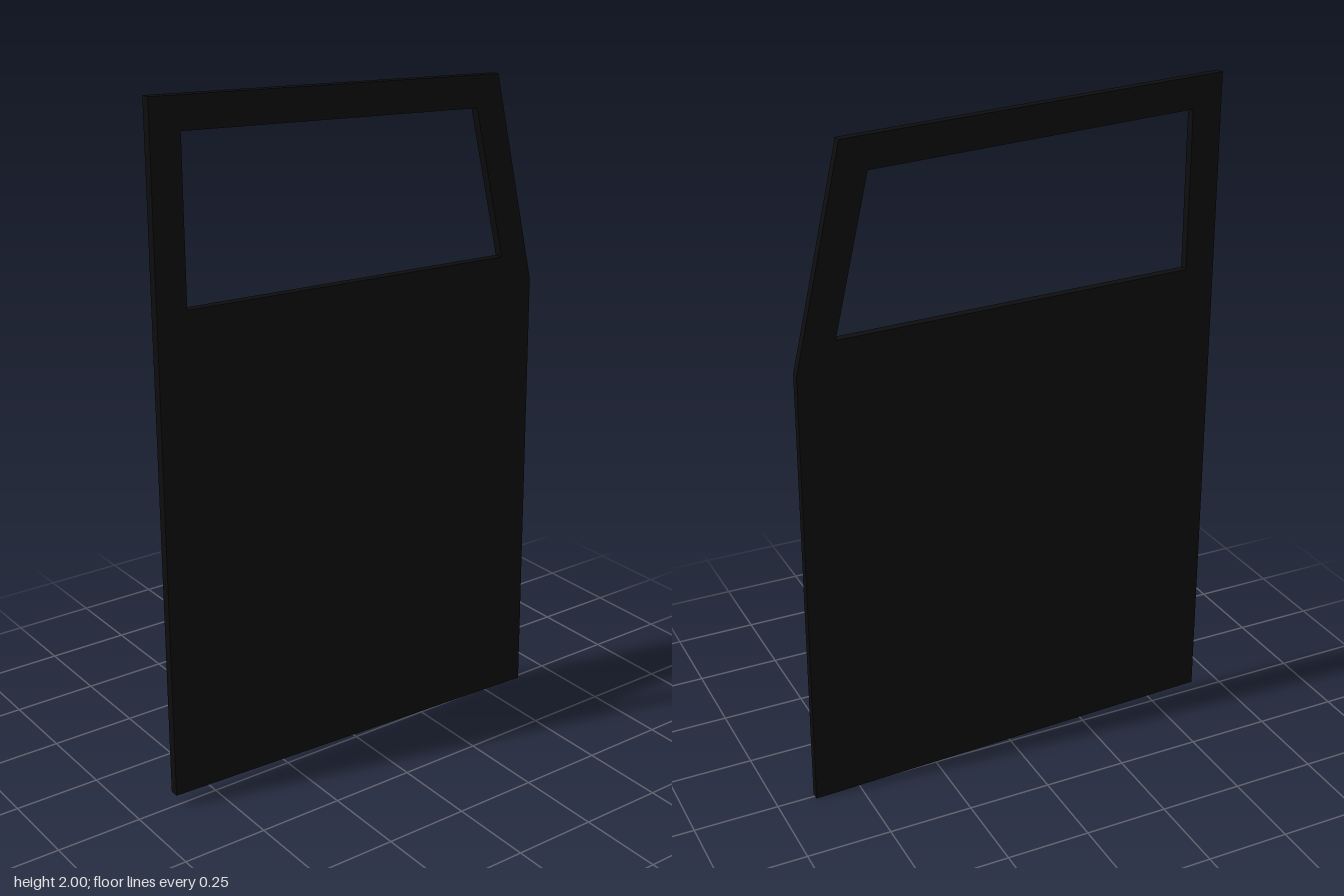
import * as THREE from 'three';

const THICKNESS = 0.026;
const toPoints = (pairs) => pairs.map(([x, y]) => new THREE.Vector2(x, y));

export function createModel() {
  const group = new THREE.Group();
  group.name = 'vehicleDoor';
  const blackPaint = new THREE.MeshStandardMaterial({ color: 0x0d0d0d });
  blackPaint.name = 'black paint';

  // Door outline: slanted top and bottom, raked front pillar
  const outline = new THREE.Shape(toPoints([
    [-0.636, 0.04], [0.636, 0], [0.624, 1.333], [0.48, 1.947], [-0.634, 2],
  ]));

  // Open window
  outline.holes.push(new THREE.Path(toPoints([
    [-0.545, 1.446], [-0.545, 1.906], [0.406, 1.859], [0.512, 1.417],
  ])));

  // Thin flat panel centred on z = 0
  const geometry = new THREE.ExtrudeGeometry(outline, { depth: THICKNESS, bevelEnabled: false });
  geometry.translate(0, 0, -THICKNESS / 2);

  const panel = new THREE.Mesh(geometry, blackPaint);
  panel.name = 'doorPanel';
  group.add(panel);
  return group;
}
